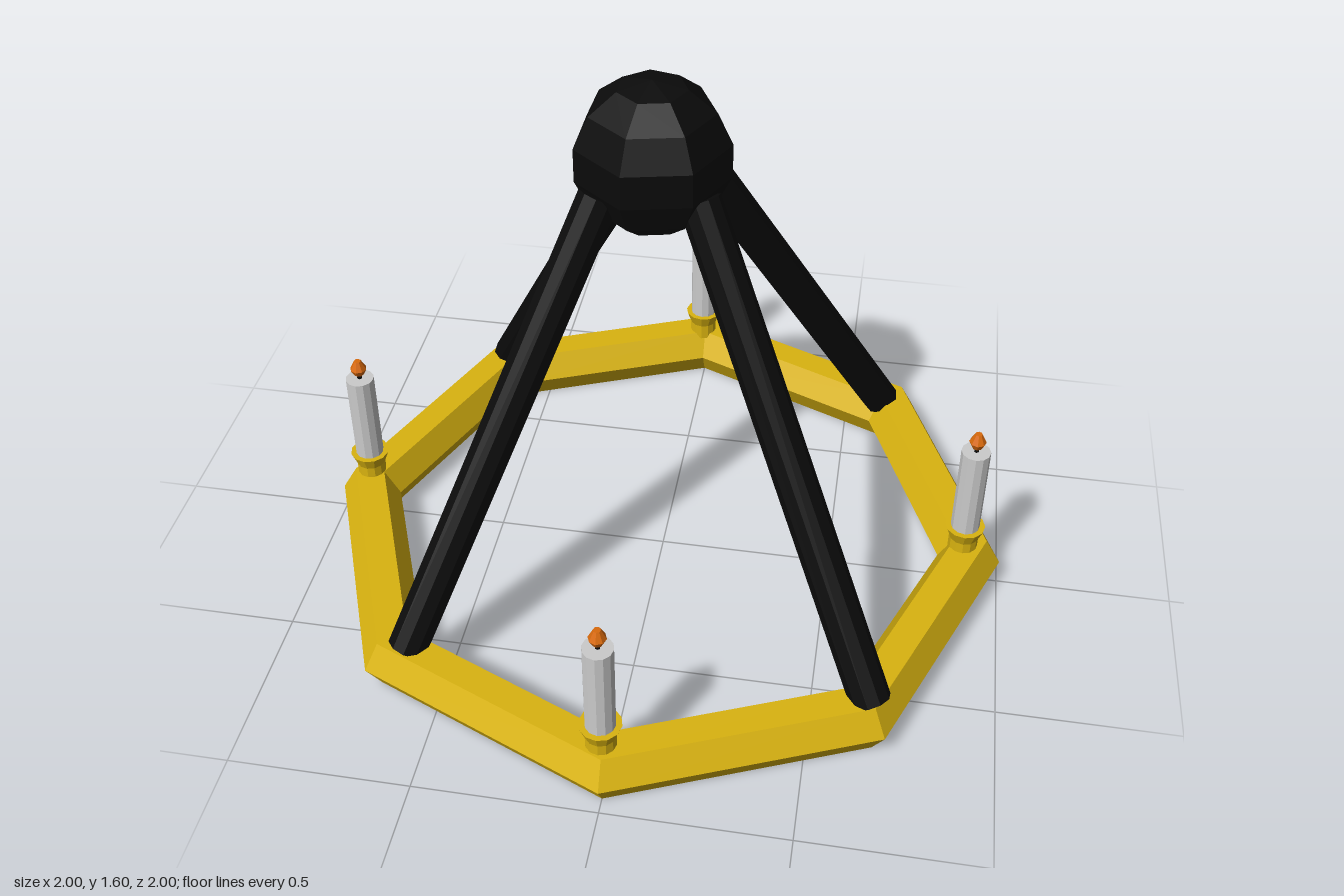
import * as THREE from 'three';

const material = (color) => new THREE.MeshStandardMaterial({ color, flatShading: true });

export function createModel() {
  const model = new THREE.Group();
  const gold = material(0xd9b310);
  const iron = material(0x0b0b0b);
  const wax = material(0xcccccc);
  const fire = material(0xd96a0c);

  const add = (parent, name, geometry, mat, x = 0, y = 0, z = 0) => {
    const mesh = new THREE.Mesh(geometry, mat);
    mesh.name = name;
    mesh.position.set(x, y, z);
    parent.add(mesh);
    return mesh;
  };
  const lathe = (profile, sides) =>
    new THREE.LatheGeometry(profile.map(([r, y]) => new THREE.Vector2(r, y)), sides);

  // Octagonal ring with a hexagonal section
  add(model, 'ring', new THREE.TorusGeometry(0.91, 0.09, 6, 8).rotateX(Math.PI / 2), gold, 0, 0.078, 0);

  // Faceted ball at the top
  add(model, 'ball', new THREE.SphereGeometry(0.21, 7, 7).rotateY(Math.PI), iron, -0.02, 1.39, 0.045);

  // Four leaning rods: foot on the ring, head inside the ball
  const rods = [
    [[-0.63, -0.66], [-0.1, -0.13]],
    [[0.61, -0.63], [0.11, -0.095]],
    [[0.66, 0.635], [0.14, 0.15]],
    [[-0.595, 0.655], [-0.16, 0.17]],
  ];
  const up = new THREE.Vector3(0, 1, 0);
  for (const [[x0, z0], [x1, z1]] of rods) {
    const foot = new THREE.Vector3(x0, 0.14, z0);
    const axis = new THREE.Vector3(x1, 1.26, z1).sub(foot).multiplyScalar(1.05);
    const rod = add(model, 'rod', new THREE.CylinderGeometry(0.056, 0.056, axis.length(), 10), iron);
    rod.position.copy(foot).addScaledVector(axis, 0.5);
    rod.quaternion.setFromUnitVectors(up, axis.normalize());
  }

  // Candles in flared holders, one on every other corner
  const holder = lathe([[0, 0.14], [0.042, 0.14], [0.042, 0.19], [0.057, 0.23], [0, 0.23]], 12);
  const stick = new THREE.CylinderGeometry(0.041, 0.041, 0.31, 12);
  const wick = new THREE.CylinderGeometry(0.007, 0.007, 0.04, 6);
  const flame = lathe([[0, 0.525], [0.014, 0.525], [0.024, 0.545], [0.01, 0.573], [0, 0.573]], 8);
  for (const [x, z] of [[-0.01, -0.89], [-0.905, -0.01], [0.885, 0.02], [-0.01, 0.9]]) {
    const candle = new THREE.Group();
    candle.name = 'candle';
    candle.position.set(x, 0, z);
    add(candle, 'holder', holder, gold);
    add(candle, 'candleStick', stick, wax, 0, 0.355, 0);
    add(candle, 'wick', wick, iron, 0, 0.52, 0);
    add(candle, 'flame', flame, fire);
    model.add(candle);
  }
  return model;
}
